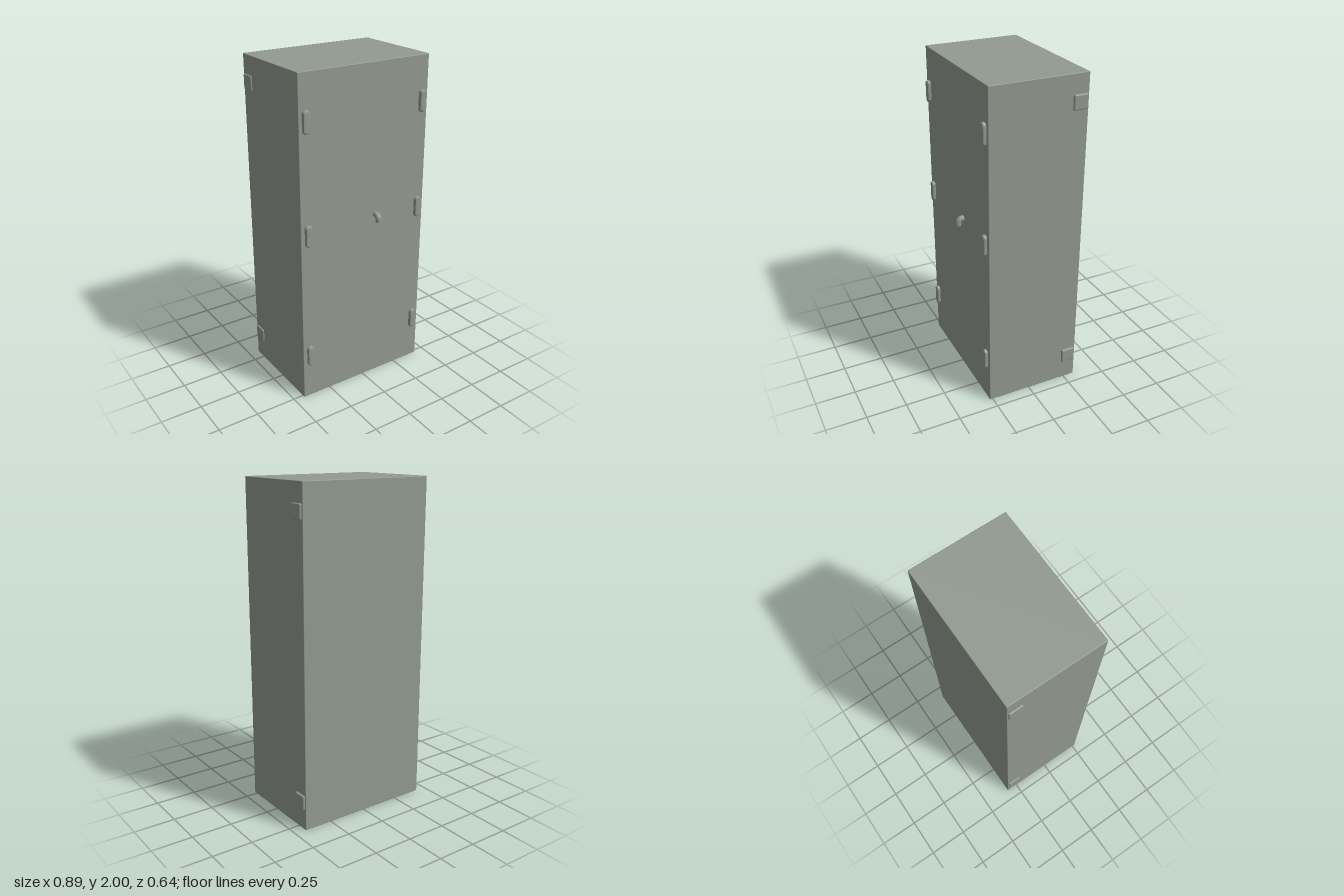
import * as THREE from 'three';
import { RoundedBoxGeometry } from 'three/addons/geometries/RoundedBoxGeometry.js';

// Vertical pill outline, centred on the origin
function pillShape(w, h) {
  const r = w / 2, s = h / 2 - r;
  const shape = new THREE.Shape();
  shape.absarc(0, s, r, 0, Math.PI);
  shape.absarc(0, -s, r, Math.PI, Math.PI * 2);
  shape.closePath();
  return shape;
}

export function createModel() {
  const group = new THREE.Group();
  const paint = new THREE.MeshStandardMaterial({ color: 0x929a8f });
  paint.name = 'grey green paint';

  const add = (name, geometry, x, y, z, parent = group) => {
    const mesh = new THREE.Mesh(geometry, paint);
    mesh.name = name;
    mesh.position.set(x, y, z);
    parent.add(mesh);
    return mesh;
  };

  // Cabinet body
  add('cabinetBody', new RoundedBoxGeometry(0.866, 2, 0.592, 2, 0.004), -0.003, 1, -0.027);

  // Door hinges: bevelled upright pills, three on each side of the front
  const hingeGeometry = new THREE.ExtrudeGeometry(pillShape(0.024, 0.114), {
    depth: 0.012, bevelEnabled: true, bevelSize: 0.009, bevelThickness: 0.008,
    bevelSegments: 2, curveSegments: 8,
  });
  for (const [y, left, right] of [[1.735, 0.388, -0.394], [1.078, 0.385, -0.39], [0.29, 0.384, -0.39]]) {
    add('leftHinge', hingeGeometry, left, y, 0.27);
    add('rightHinge', hingeGeometry, right, y, 0.27);
  }

  // Wall brackets near the back edge of each side
  const bracketGeometry = new RoundedBoxGeometry(0.03, 0.088, 0.087, 3, 0.008);
  for (const y of [1.842, 0.172]) {
    add('leftBracket', bracketGeometry, 0.428, y, -0.271);
    add('rightBracket', bracketGeometry, -0.43, y, -0.271);
  }

  // Door handle: short elbow coming out of the door and turning down
  const handle = new THREE.Group();
  handle.name = 'doorHandle';
  handle.position.set(0.075, 0, 0);
  group.add(handle);
  const path = new THREE.CatmullRomCurve3([
    new THREE.Vector3(0, 1.1, 0.265),
    new THREE.Vector3(0, 1.1, 0.284),
    new THREE.Vector3(0, 1.088, 0.299),
    new THREE.Vector3(0, 1.06, 0.303),
  ]);
  add('handleElbow', new THREE.TubeGeometry(path, 12, 0.018, 14), 0, 0, 0, handle);
  const end = add('handleEnd', new THREE.CircleGeometry(0.018, 14), 0, 1.06, 0.303, handle);
  end.rotation.x = Math.PI / 2;

  return group;
}
